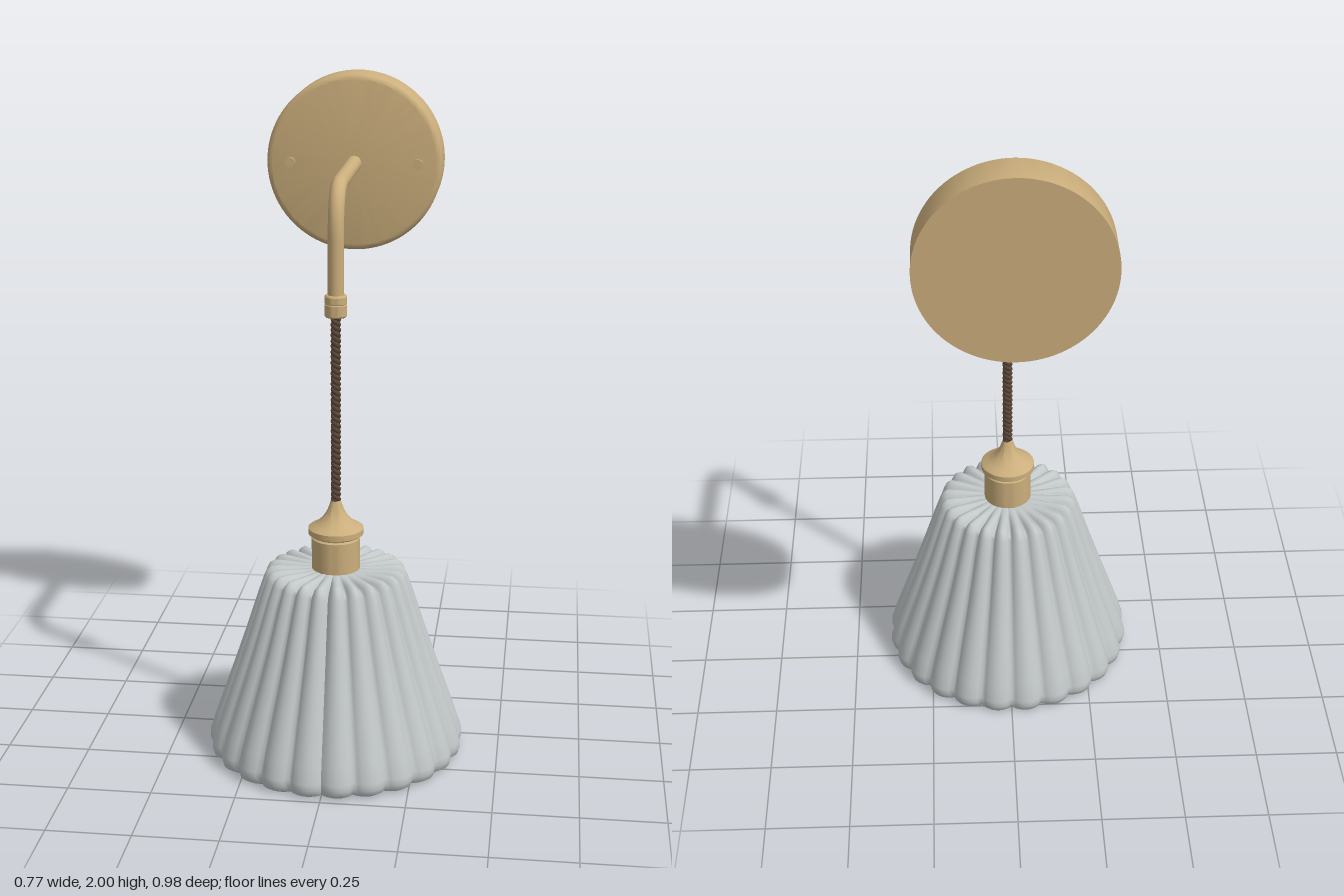
import * as THREE from 'three';
import { toCreasedNormals } from 'three/addons/utils/BufferGeometryUtils.js';

const AXIS_Z = 0.1; // hanging axis of cord and shade
const WALL_Y = 1.73; // centre height of the wall plate

const v2 = (pts) => pts.map(([x, y]) => new THREE.Vector2(x, y));

// Lathe from bottom to top, with sharp edges kept
function turned(pts, segments = 48) {
  return toCreasedNormals(new THREE.LatheGeometry(v2(pts), segments), 0.6);
}

// Fluted shade: a turned profile whose radius and crown follow rounded lobes
function shadeGeometry(lobes = 24) {
  const profile = [
    [0.372, 0], [0.384, 0.008], [0.389, 0.025], [0.389, 0.045], [0.372, 0.1],
    [0.337, 0.2], [0.302, 0.3], [0.268, 0.4], [0.236, 0.5], [0.217, 0.555],
    [0.208, 0.574], [0.194, 0.584], [0.17, 0.585], [0.13, 0.583], [0.095, 0.581], [0.06, 0.58],
  ];
  const g = new THREE.LatheGeometry(v2(profile), lobes * 8);
  const p = g.attributes.position;
  for (let i = 0; i < p.count; i++) {
    const x = p.getX(i), y = p.getY(i), z = p.getZ(i);
    const r = Math.hypot(x, z);
    const groove = 1 - Math.pow(Math.abs(Math.sin(Math.atan2(x, z) * lobes / 2)), 0.8);
    const fade = THREE.MathUtils.smoothstep(r, 0.07, 0.19);
    const crown = THREE.MathUtils.smoothstep(y, 0.54, 0.584);
    const k = (r - 0.02 * groove * fade) / r;
    p.setXYZ(i, x * k, y - 0.022 * groove * fade * crown, z * k);
  }
  g.computeVertexNormals();
  return g;
}

// One strand of the twisted cord
function strandGeometry(y0, y1, turns, phase) {
  const pts = [];
  const n = turns * 8;
  for (let i = 0; i <= n; i++) {
    const a = (i / 8) * Math.PI * 2 + phase;
    pts.push(new THREE.Vector3(Math.cos(a) * 0.007, y0 + (y1 - y0) * i / n, Math.sin(a) * 0.007));
  }
  return new THREE.TubeGeometry(new THREE.CatmullRomCurve3(pts), n * 2, 0.0085, 8);
}

export function createModel() {
  const brass = new THREE.MeshStandardMaterial({ color: 0xcbae7c });
  brass.name = 'brass';
  const glass = new THREE.MeshStandardMaterial({ color: 0xc2c7c8, side: THREE.DoubleSide });
  glass.name = 'grey shade';
  const cordBrown = new THREE.MeshStandardMaterial({ color: 0x5a4638 });
  cordBrown.name = 'cord brown';

  const model = new THREE.Group();
  model.name = 'wallLamp';
  const add = (name, geometry, material, x = 0, y = 0, z = 0, parent = model) => {
    const m = new THREE.Mesh(geometry, material);
    m.name = name;
    m.position.set(x, y, z);
    parent.add(m);
    return m;
  };

  // Wall plate with a softened front rim
  const plate = add('wallPlate', turned([
    [0, 0], [0.272, 0], [0.272, 0.112], [0.269, 0.119], [0.26, 0.127], [0.255, 0.128], [0, 0.128],
  ], 96), brass, 0, WALL_Y, -0.49);
  plate.rotation.x = Math.PI / 2;

  // Two fixing screws
  for (const s of [-1, 1]) {
    const screw = add(s > 0 ? 'leftScrew' : 'rightScrew',
      new THREE.CylinderGeometry(0.016, 0.016, 0.022, 20), brass, s * 0.198, WALL_Y, -0.362);
    screw.rotation.x = Math.PI / 2;
  }

  // Bent arm: straight out, round the elbow, then down
  const path = new THREE.CurvePath();
  const P = (y, z) => new THREE.Vector3(0, y, z);
  path.add(new THREE.LineCurve3(P(WALL_Y, -0.37), P(WALL_Y, -0.02)));
  path.add(new THREE.CubicBezierCurve3(P(WALL_Y, -0.02), P(WALL_Y + 0.005, 0.06), P(1.68, AXIS_Z), P(1.58, AXIS_Z)));
  path.add(new THREE.LineCurve3(P(1.58, AXIS_Z), P(1.4, AXIS_Z)));
  add('arm', new THREE.TubeGeometry(path, 80, 0.0235, 24), brass);

  // Everything hanging on the lamp axis
  const pendant = new THREE.Group();
  pendant.name = 'pendant';
  pendant.position.z = AXIS_Z;
  model.add(pendant);
  const hang = (name, geometry, material) => add(name, geometry, material, 0, 0, 0, pendant);

  hang('armCollar', turned([
    [0, 1.355], [0.029, 1.355], [0.033, 1.36], [0.033, 1.392], [0.031, 1.394],
    [0.033, 1.396], [0.033, 1.416], [0.029, 1.421], [0.02, 1.421],
  ], 32), brass);

  for (let i = 0; i < 2; i++) {
    hang('cordStrand' + (i + 1), strandGeometry(0.78, 1.365, 18, i * Math.PI), cordBrown);
  }

  // Flared cap above the socket
  hang('socketCap', turned([
    [0, 0.686], [0.078, 0.686], [0.083, 0.69], [0.083, 0.707], [0.078, 0.711],
    [0.064, 0.718], [0.048, 0.731], [0.034, 0.747], [0.025, 0.763], [0.019, 0.78],
    [0.015, 0.792], [0, 0.792],
  ]), brass);
  hang('socket', turned([
    [0, 0.56], [0.073, 0.56], [0.073, 0.676], [0.067, 0.68], [0.067, 0.69], [0, 0.69],
  ]), brass);

  hang('shade', shadeGeometry(), glass);
  return model;
}
